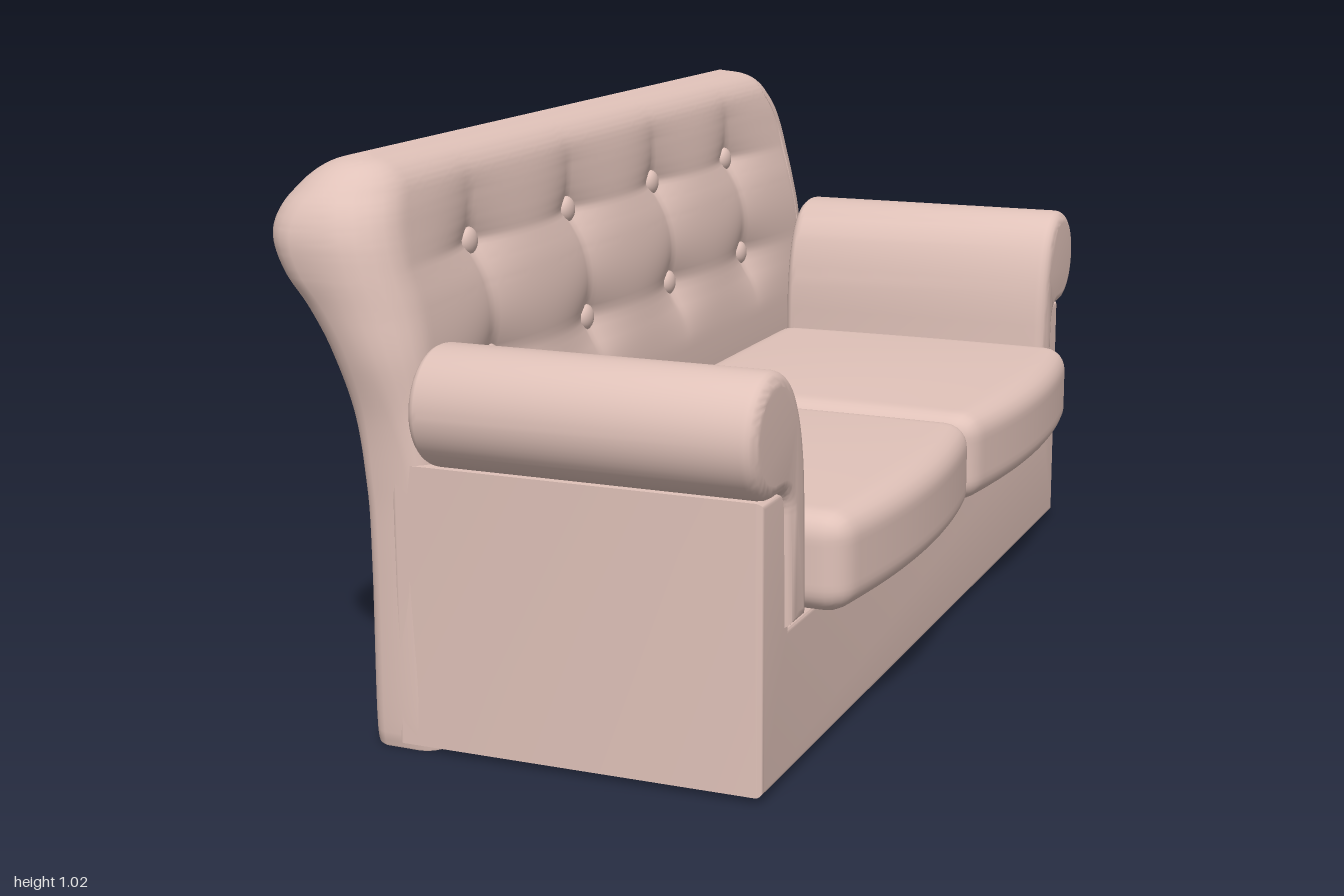
import * as THREE from 'three';
import { mergeVertices, toCreasedNormals } from 'three/addons/utils/BufferGeometryUtils.js';

const fabric = new THREE.MeshStandardMaterial({ color: 0xe0c2b9 });

function add(group, name, geometry) {
  const mesh = new THREE.Mesh(geometry, fabric);
  mesh.name = name;
  group.add(mesh);
  return mesh;
}

// Extrude a side-to-side outline of [z, y] points from x0 to x1 with rounded ends
function extrudeX(points, x0, x1, bevel) {
  const shape = new THREE.Shape(points.map(([z, y]) => new THREE.Vector2(-z, y)));
  const geo = new THREE.ExtrudeGeometry(shape, {
    depth: x1 - x0 - 2 * bevel, bevelSize: bevel, bevelThickness: bevel,
    bevelOffset: -bevel, bevelSegments: 5,
  });
  geo.translate(0, 0, x0 + bevel);
  geo.rotateY(Math.PI / 2);
  return toCreasedNormals(geo, 0.7);
}

// Button positions on the backrest
const buttons = [];
for (const y of [0.62, 0.83]) for (const z of [-0.6, -0.2, 0.2, 0.6]) buttons.push([y, z]);

// Depth of the tufting around the buttons
function tuft(y, z) {
  let d = 0;
  for (const [by, bz] of buttons) {
    d += 0.05 * Math.exp(-(Math.abs(z - bz) / 0.1 + Math.abs(y - by) / 0.07));
  }
  return d;
}

// Backrest levels: y, rear x, front x, half width
const levels = [
  [0, -0.325, -0.2, 0.915], [0.015, -0.335, -0.2, 0.925], [0.3, -0.335, -0.205, 0.925],
  [0.45, -0.34, -0.205, 0.925], [0.57, -0.36, -0.212, 0.932], [0.68, -0.4, -0.22, 0.952],
  [0.76, -0.447, -0.234, 0.96], [0.82, -0.49, -0.25, 0.965], [0.88, -0.51, -0.265, 0.963],
  [0.93, -0.499, -0.278, 0.945], [0.97, -0.47, -0.295, 0.91], [0.997, -0.43, -0.328, 0.865],
  [1.01, -0.385, -0.385, 0.8],
];
const smoothCurve = (pts) => new THREE.CatmullRomCurve3(pts, false, 'catmullrom', 0.5);
const rearCurve = smoothCurve(levels.map(([y, xb, , w]) => new THREE.Vector3(xb, y, w)));
const frontCurve = smoothCurve(levels.map(([y, , xf, w]) => new THREE.Vector3(xf, y, w)));

// Backrest: rounded horizontal slices stacked upward, tufted on the front
function backrestGeometry() {
  const rows = (levels.length - 1) * 8, across = 120, arc = 6;
  const pos = [], index = [];
  let count = 0;
  for (let j = 0; j <= rows; j++) {
    const rear = rearCurve.getPoint(j / rows), front = frontCurve.getPoint(j / rows);
    const y = rear.y, w = rear.z;
    const half = Math.max(0, (front.x - rear.x) / 2);
    const r = Math.min(half, THREE.MathUtils.lerp(0.04, 0.1, THREE.MathUtils.smoothstep(y, 0.45, 0.8)));
    const ring = [];
    for (let i = 0; i <= across; i++) {
      const z = (2 * i / across - 1) * (w - r);
      ring.push([front.x - (y > 0.5 && y < 1 ? tuft(y, z) * Math.min(1, (y - 0.5) / 0.08, (1 - y) / 0.08) : 0), z]);
    }
    const corner = (cx, cz, start) => {
      for (let i = 1; i <= arc; i++) {
        const a = start + (i / arc) * Math.PI / 2;
        ring.push([cx + r * Math.cos(a), cz + r * Math.sin(a)]);
      }
    };
    corner(front.x - r, w - r, 0);
    corner(rear.x + r, w - r, Math.PI / 2);
    for (let i = 1; i <= 10; i++) ring.push([rear.x, (1 - i / 5) * (w - r)]);
    corner(rear.x + r, -w + r, Math.PI);
    corner(front.x - r, -w + r, Math.PI * 1.5);
    count = ring.length;
    for (const [x, z] of ring) pos.push(x, y, z);
  }
  for (let j = 0; j < rows; j++) {
    for (let i = 0; i < count; i++) {
      const a = j * count + i, b = j * count + (i + 1) % count;
      index.push(a, a + count, b, b, a + count, b + count);
    }
  }
  // Underside
  const centre = pos.length / 3;
  pos.push(-0.26, 0, 0);
  for (let i = 0; i < count; i++) index.push(centre, i, (i + 1) % count);
  const geo = new THREE.BufferGeometry();
  geo.setAttribute('position', new THREE.Float32BufferAttribute(pos, 3));
  geo.setIndex(index);
  return toCreasedNormals(geo, 0.7);
}

// Seat cushion: rounded block with a bowed front and a crowned top
function cushionGeometry() {
  const size = new THREE.Vector3(0.68, 0.175, 0.735), r = 0.045;
  let geo = new THREE.BoxGeometry(size.x, size.y, size.z, 44, 16, 48);
  geo.deleteAttribute('normal');
  geo.deleteAttribute('uv');
  geo = mergeVertices(geo);
  const p = geo.attributes.position;
  const inner = size.clone().multiplyScalar(0.5).subScalar(r);
  const v = new THREE.Vector3(), c = new THREE.Vector3();
  for (let i = 0; i < p.count; i++) {
    v.fromBufferAttribute(p, i);
    c.copy(v).clamp(inner.clone().negate(), inner);
    v.sub(c).setLength(r).add(c);
    const u = 2 * v.x / size.x, t = 2 * v.z / size.z;
    if (u > 0) v.x += 0.037 * u * u * (1 - t * t);
    if (v.y > 0) v.y += 0.012 * (1 - t * t) * (1 - u * u) * v.y / (size.y / 2);
    p.setXYZ(i, v.x, v.y, v.z);
  }
  geo.computeVertexNormals();
  return geo;
}

// Rolled arm outline, for the arm on the +z side
function armOutline() {
  const s = new THREE.Shape();
  s.moveTo(0.75, 0.26);
  s.lineTo(0.753, 0.47);
  s.bezierCurveTo(0.757, 0.61, 0.8, 0.71, 0.895, 0.71);
  s.absarc(0.895, 0.605, 0.105, Math.PI / 2, -Math.PI / 2, true);
  s.lineTo(0.87, 0.5);
  s.quadraticCurveTo(0.83, 0.5, 0.83, 0.455);
  s.lineTo(0.825, 0.26);
  return s.getPoints(16).map((q) => [q.x, q.y]);
}

export function createModel() {
  const sofa = new THREE.Group();
  sofa.name = 'sofa';

  // Base with raised side walls
  add(sofa, 'base', extrudeX([
    [-0.925, 0], [0.925, 0], [0.925, 0.5], [0.8, 0.5], [0.8, 0.26],
    [-0.8, 0.26], [-0.8, 0.5], [-0.925, 0.5],
  ], -0.28, 0.4, 0.012));

  add(sofa, 'backrest', backrestGeometry());

  // Buttons sunk into the tufting
  const buttonGeo = new THREE.SphereGeometry(0.026, 20, 14);
  for (const [y, z] of buttons) {
    let t = 0;
    while (frontCurve.getPoint(t).y < y) t += 0.002;
    const button = add(sofa, 'button', buttonGeo);
    button.position.set(frontCurve.getPoint(t).x - tuft(y, z) + 0.012, y, z);
    button.scale.x = 0.6;
  }

  // Arms and seat cushions, mirrored
  const outline = armOutline(), cushion = cushionGeometry();
  for (const [side, s] of [['left', -1], ['right', 1]]) {
    add(sofa, side + 'Arm', extrudeX(outline.map(([z, y]) => [s * z, y]), -0.205, 0.415, 0.025));
    add(sofa, side + 'SeatCushion', cushion).position.set(0.13, 0.347, s * 0.373);
  }
  return sofa;
}
